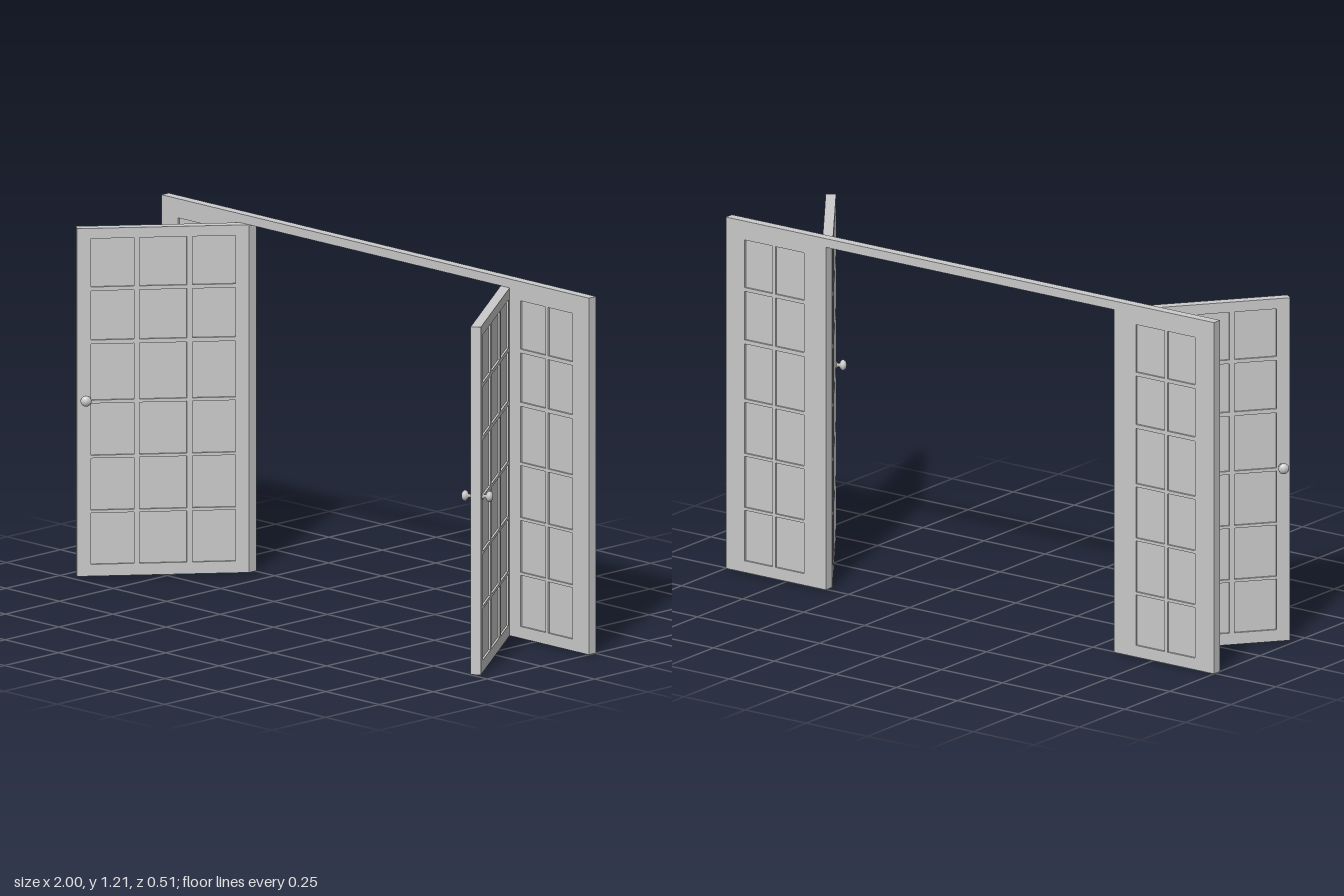
import * as THREE from 'three';

const grey = new THREE.MeshStandardMaterial({ color: 0xcccccc });
const HEIGHT = 1.18, THICK = 0.034, PANE = 0.02;

// Pane edges [start, end] for the rows and columns
const ROWS = [[0.04, 0.214], [0.224, 0.4], [0.41, 0.586], [0.597, 0.787], [0.801, 0.968], [0.981, 1.145]];
const DOOR_COLS = [[0.046, 0.189], [0.207, 0.364], [0.382, 0.525]];
const SIDE_COLS = [[0.09, 0.207], [0.219, 0.333]];

function addMesh(parent, name, geometry, x = 0, y = 0, z = 0) {
  const mesh = new THREE.Mesh(geometry, grey);
  mesh.name = name;
  mesh.position.set(x, y, z);
  parent.add(mesh);
  return mesh;
}

function rect(path, x0, x1, y0, y1) {
  path.moveTo(x0, y0);
  path.lineTo(x1, y0);
  path.lineTo(x1, y1);
  path.lineTo(x0, y1);
  path.closePath();
  return path;
}

// Glazed panel: a grid frame running along +x from its edge, with recessed panes
function glazedPanel(name, width, cols) {
  const group = new THREE.Group();
  group.name = name;
  const shape = rect(new THREE.Shape(), 0, width, 0, HEIGHT);
  for (const [x0, x1] of cols) {
    for (const [y0, y1] of ROWS) {
      shape.holes.push(rect(new THREE.Path(), x0, x1, y0, y1));
      addMesh(group, 'pane', new THREE.BoxGeometry(x1 - x0, y1 - y0, PANE), (x0 + x1) / 2, (y0 + y1) / 2, 0);
    }
  }
  const frame = new THREE.ExtrudeGeometry(shape, { depth: THICK, bevelEnabled: false });
  addMesh(group, 'gridFrame', frame.translate(0, 0, -THICK / 2));
  return group;
}

// Round knob on a short stem, turned around the door's normal
function knobGeometry() {
  const profile = [
    [0, 0], [0.012, 0], [0.012, 0.003], [0.006, 0.006], [0.006, 0.012], [0.013, 0.015],
    [0.018, 0.021], [0.018, 0.026], [0.014, 0.032], [0.007, 0.035], [0, 0.036],
  ].map(([r, h]) => new THREE.Vector2(r, h));
  return new THREE.LatheGeometry(profile, 20).rotateX(Math.PI / 2);
}

function door(name, hingeX, hingeZ, dirX, dirZ) {
  const group = glazedPanel(name, 0.571, DOOR_COLS);
  for (const side of [1, -1]) {
    const knob = addMesh(group, 'knob', knobGeometry(), 0.543, 0.6, side * THICK / 2);
    if (side < 0) knob.rotation.y = Math.PI;
  }
  group.position.set(hingeX, 0, hingeZ);
  group.rotation.y = Math.atan2(-dirZ, dirX);
  return group;
}

export function createModel() {
  const model = new THREE.Group();
  model.name = 'frenchDoors';
  const frameZ = -0.238;

  // Head beam across the whole opening
  addMesh(model, 'headBeam', new THREE.BoxGeometry(2, 0.03, THICK), 0, 1.195, frameZ);

  // Fixed side lights
  const left = glazedPanel('leftSideLight', 0.41, SIDE_COLS);
  left.position.set(0.59, 0, frameZ);
  const right = glazedPanel('rightSideLight', 0.41, SIDE_COLS);
  right.position.set(-0.59, 0, frameZ);
  right.rotation.y = Math.PI;
  model.add(left, right);

  // Opened doors
  model.add(door('leftDoor', 0.603, -0.229, 0.578, 0.816));
  model.add(door('rightDoor', -0.603, -0.233, -0.632, 0.775));
  return model;
}
